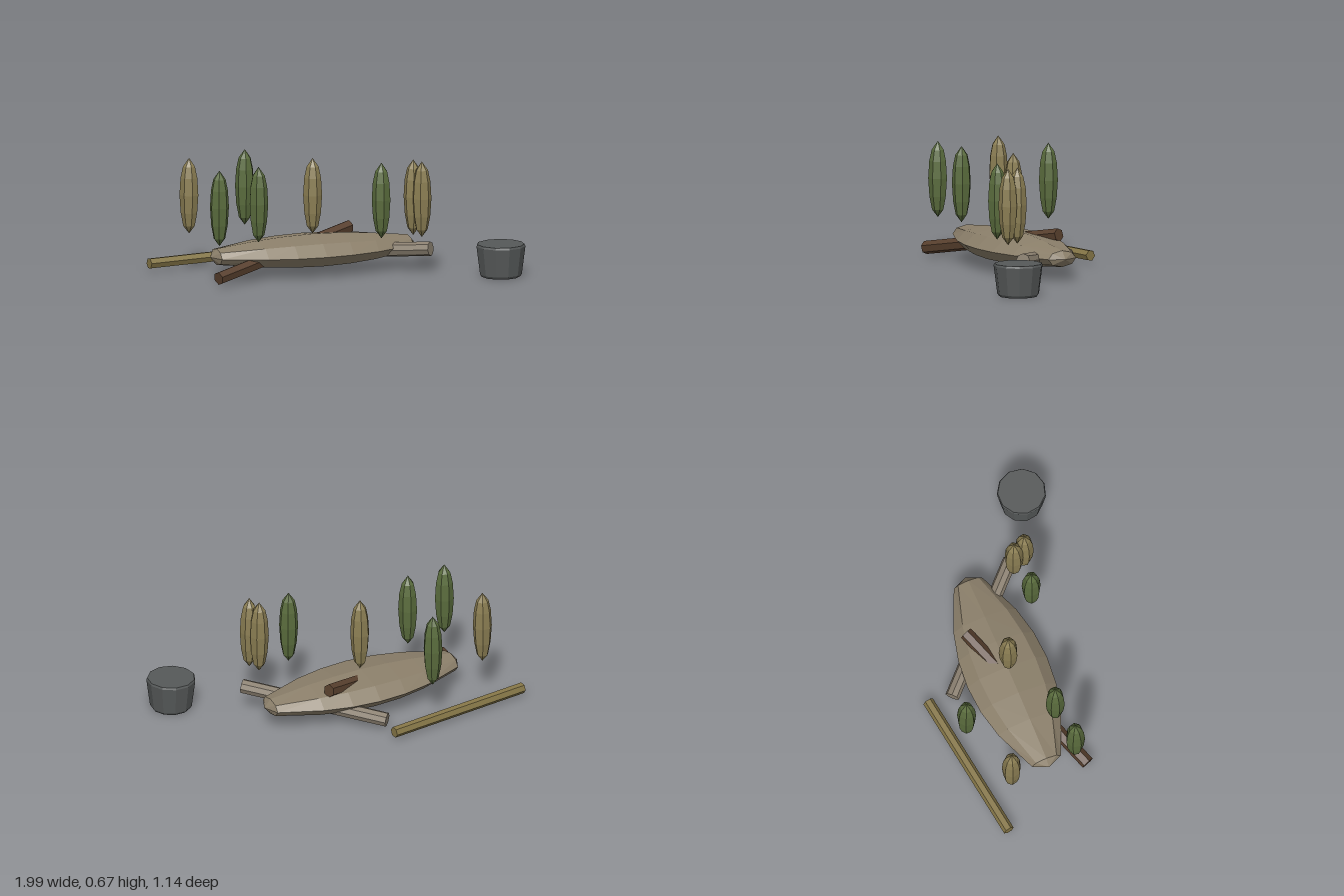
import * as THREE from 'three';

const paint = (name, color) => {
  const m = new THREE.MeshStandardMaterial({ color, flatShading: true });
  m.name = name;
  return m;
};

export function createModel() {
  const model = new THREE.Group();
  model.name = 'campDebris';

  const hide = paint('grey brown', 0x8b7f6a);
  const driftwood = paint('weathered grey', 0x8b8070);
  const olive = paint('olive wood', 0x857647);
  const brown = paint('dark brown wood', 0x573f2d);
  const green = paint('leaf green', 0x5a6c3d);
  const tan = paint('dry tan', 0x8b7e53);
  const iron = paint('dark grey', 0x565959);

  const add = (name, geometry, material) => {
    const mesh = new THREE.Mesh(geometry, material);
    mesh.name = name;
    model.add(mesh);
    return mesh;
  };
  const lathe = (points, sides) =>
    new THREE.LatheGeometry(points.map(([r, y]) => new THREE.Vector2(r, y)), sides);

  // Flattened long mound with blunt ends, lying along x
  const mound = lathe([
    [0, -0.63], [0.09, -0.59], [0.195, -0.34], [0.235, -0.17], [0.248, 0],
    [0.235, 0.17], [0.195, 0.34], [0.09, 0.59], [0, 0.63],
  ], 8).rotateZ(-Math.PI / 2);
  const pos = mound.attributes.position;
  for (let i = 0; i < pos.count; i++) {
    const t = pos.getX(i) / 0.63;
    pos.setY(i, pos.getY(i) * (0.375 + 0.2 * t ** 4));
  }
  mound.computeVertexNormals();
  add('mound', mound, hide).position.set(-0.12, 0.135, -0.062);

  // Straight logs between two points
  const log = (name, a, b, radius, sides, material) => {
    const from = new THREE.Vector3(...a), to = new THREE.Vector3(...b);
    const dir = to.clone().sub(from);
    const mesh = add(name, new THREE.CylinderGeometry(radius, radius, dir.length(), sides), material);
    mesh.position.copy(from).add(to).multiplyScalar(0.5);
    mesh.quaternion.setFromUnitVectors(new THREE.Vector3(0, 1, 0), dir.normalize());
  };
  log('greyLog', [-0.112, 0.06, -0.402], [0.506, 0.147, 0.214], 0.042, 8, driftwood);
  log('oliveLog', [-0.992, 0.05, -0.412], [-0.083, 0.05, -0.54], 0.032, 6, olive);
  log('brownLog', [-0.785, 0.055, 0.165], [0.163, 0.225, -0.203], 0.039, 6, brown);

  // Floating spindle-shaped leaves
  const leaf = lathe([
    [0, 0.232], [0.034, 0.277], [0.049, 0.355], [0.056, 0.46],
    [0.05, 0.56], [0.036, 0.625], [0, 0.676],
  ], 7);
  [
    [-0.785, -0.31, tan], [-0.395, -0.43, green], [-0.755, 0.1, green], [-0.505, 0.078, green],
    [-0.12, -0.055, tan], [0.2, 0.22, green], [0.405, 0.197, tan], [0.43, 0.27, tan],
  ].forEach(([x, z, material], i) => {
    const mesh = add('leaf' + (i + 1), leaf, material);
    mesh.position.set(x, 0, z);
    mesh.rotation.y = i * 0.7;
  });

  // Tapered closed bucket with softened rims
  const bucket = lathe([
    [0, 0.002], [0.112, 0.002], [0.122, 0.016], [0.143, 0.18], [0.138, 0.192], [0, 0.192],
  ], 11);
  add('bucket', bucket, iron).position.set(0.856, 0, 0.43);

  return model;
}
